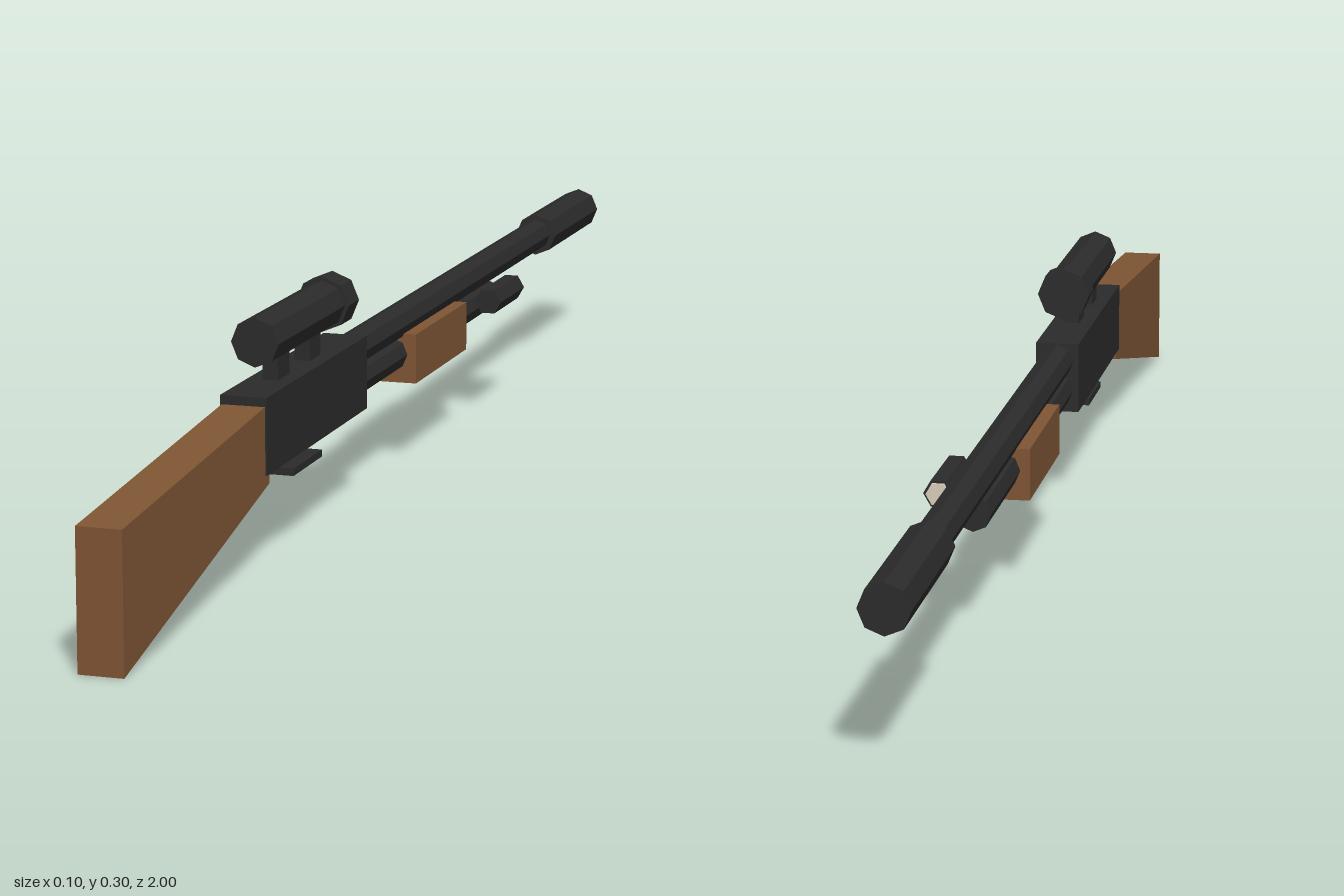
import * as THREE from 'three';

const CX = -0.015; // centre plane of the main body

export function createModel() {
  const group = new THREE.Group();
  const make = (name, hex) => {
    const m = new THREE.MeshStandardMaterial({ color: hex, flatShading: true });
    m.name = name;
    return m;
  };
  const steel = make('dark steel', 0x2b2b2b);
  const wood = make('brown wood', 0x7f5534);
  const glass = make('pale lens', 0xd8ccb8);

  const add = (name, geometry, material) => {
    const mesh = new THREE.Mesh(geometry, material);
    mesh.name = name;
    group.add(mesh);
    return mesh;
  };
  // box given by its width and its y and z ranges
  const box = (name, w, y0, y1, z0, z1, material) =>
    add(name, new THREE.BoxGeometry(w, y1 - y0, z1 - z0), material)
      .position.set(CX, (y0 + y1) / 2, (z0 + z1) / 2);
  // faceted rod along z, with corners on the x axis
  const rod = (name, r, x, y, z0, z1, sides, material) => {
    const g = new THREE.CylinderGeometry(r, r, z1 - z0, sides);
    g.rotateX(Math.PI / 2).rotateZ(Math.PI / 2);
    add(name, g, material).position.set(x, y, (z0 + z1) / 2);
  };

  // tapered shoulder stock: side profile extruded across the width
  const profile = new THREE.Shape([
    [1, 0], [1, 0.165], [0.527, 0.202], [0.527, 0.106],
  ].map(([z, y]) => new THREE.Vector2(-z, y)));
  const stock = new THREE.ExtrudeGeometry(profile, { depth: 0.054, bevelEnabled: false });
  stock.translate(0, 0, -0.027).rotateY(Math.PI / 2);
  add('stock', stock, wood).position.x = CX;

  // receiver and the guard plate below it
  box('receiver', 0.058, 0.118, 0.212, 0.158, 0.542, steel);
  box('guardPlate', 0.04, 0.089, 0.098, 0.313, 0.42, steel);

  // barrel, muzzle sleeve, lower tube and sliding grip
  rod('barrel', 0.022, CX, 0.188, -0.8, 0.17, 8, steel);
  rod('muzzleSleeve', 0.03, CX, 0.187, -1, -0.75, 8, steel);
  rod('lowerTube', 0.022, CX, 0.148, -0.477, 0.17, 8, steel);
  box('foreGrip', 0.068, 0.11, 0.176, -0.27, -0.036, wood);

  // sight tube with front bell on two mounts
  rod('scopeTube', 0.03, CX, 0.268, 0.206, 0.5, 8, steel);
  rod('scopeBell', 0.035, CX, 0.268, 0.209, 0.25, 8, steel);
  for (const z of [0.425, 0.307]) {
    box('scopeMount', 0.02, 0.208, 0.25, z - 0.021, z + 0.021, steel);
  }

  // side lamp with a thin lens
  rod('lamp', 0.0185, 0.031, 0.165, -0.455, -0.335, 6, steel);
  rod('lampLens', 0.015, 0.031, 0.165, -0.459, -0.454, 6, glass);

  return group;
}
